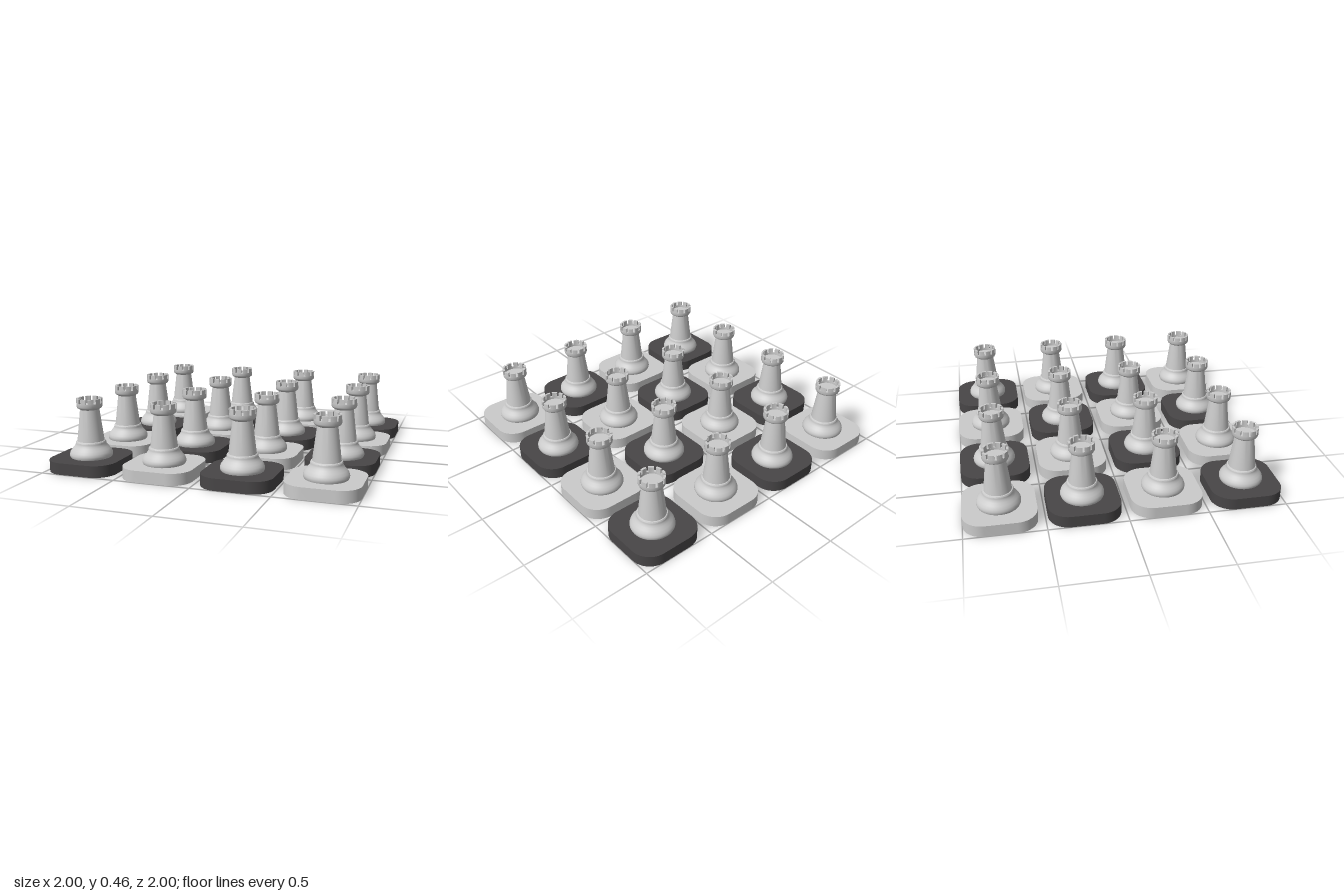
import * as THREE from 'three';
import { toCreasedNormals, mergeGeometries } from 'three/addons/utils/BufferGeometryUtils.js';

const PITCH = 0.515, HALF = 0.2275, CORNER = 0.13, TILE_H = 0.075;
const NOTCHES = 10, NOTCH_Y = 0.425, TOP_Y = 0.455;

// Square tile with rounded corners, lying flat from y = 0 to TILE_H
function tileGeometry() {
  const s = new THREE.Shape(), h = HALF, c = HALF - CORNER;
  s.moveTo(-c, -h);
  s.lineTo(c, -h);
  s.absarc(c, -c, CORNER, -Math.PI / 2, 0);
  s.absarc(c, c, CORNER, 0, Math.PI / 2);
  s.absarc(-c, c, CORNER, Math.PI / 2, Math.PI);
  s.absarc(-c, -c, CORNER, Math.PI, Math.PI * 1.5);
  const g = new THREE.ExtrudeGeometry(s, { depth: TILE_H, bevelEnabled: false, curveSegments: 10 });
  g.rotateX(-Math.PI / 2);
  return toCreasedNormals(g, 0.6);
}

// Turned tower: rounded foot, collar, tapering shaft and hollow head
function bodyGeometry() {
  const profile = [
    [0, 0.074], [0.132, 0.074], [0.137, 0.085], [0.137, 0.097], [0.132, 0.112],
    [0.12, 0.128], [0.107, 0.143], [0.099, 0.155], [0.096, 0.165], [0.096, 0.172],
    [0.092, 0.178], [0.086, 0.18], [0.061, 0.384], [0.067, 0.388], [0.077, 0.394],
    [0.082, 0.404], [0.082, NOTCH_Y], [0.068, NOTCH_Y], [0.068, 0.41], [0, 0.41],
  ].map(([r, y]) => new THREE.Vector2(r, y));
  return toCreasedNormals(new THREE.LatheGeometry(profile, 40), 0.6);
}

// Ring of wall blocks with narrow notches between them
function battlementGeometry() {
  const step = (Math.PI * 2) / NOTCHES, half = step * 0.36;
  const s = new THREE.Shape();
  s.absarc(0, 0, 0.082, -half, half, false);
  s.absarc(0, 0, 0.068, half, -half, true);
  const block = new THREE.ExtrudeGeometry(s, { depth: TOP_Y - NOTCH_Y, bevelEnabled: false, curveSegments: 4 });
  block.rotateX(-Math.PI / 2);
  block.translate(0, NOTCH_Y, 0);
  const blocks = [];
  for (let i = 0; i < NOTCHES; i++) {
    blocks.push(block.clone().rotateY(Math.PI / 2 + i * step));
  }
  return toCreasedNormals(mergeGeometries(blocks), 0.6);
}

export function createModel() {
  const model = new THREE.Group();
  model.name = 'towerBoard';
  const light = new THREE.MeshStandardMaterial({ color: 0xcccccc });
  const dark = new THREE.MeshStandardMaterial({ color: 0x484647 });
  const tileGeo = tileGeometry(), bodyGeo = bodyGeometry(), battlementGeo = battlementGeometry();

  const add = (parent, name, geometry, material) => {
    const mesh = new THREE.Mesh(geometry, material);
    mesh.name = name;
    parent.add(mesh);
  };

  // Four by four chequered tiles, the front left corner dark, each with a rook
  for (let row = 0; row < 4; row++) {
    for (let col = 0; col < 4; col++) {
      const square = new THREE.Group();
      square.name = `square${row + 1}_${col + 1}`;
      square.position.set((col - 1.5) * PITCH, 0, (1.5 - row) * PITCH);
      add(square, 'tile', tileGeo, (row + col) % 2 === 0 ? dark : light);
      add(square, 'rookBody', bodyGeo, light);
      add(square, 'rookBattlements', battlementGeo, light);
      model.add(square);
    }
  }
  return model;
}
